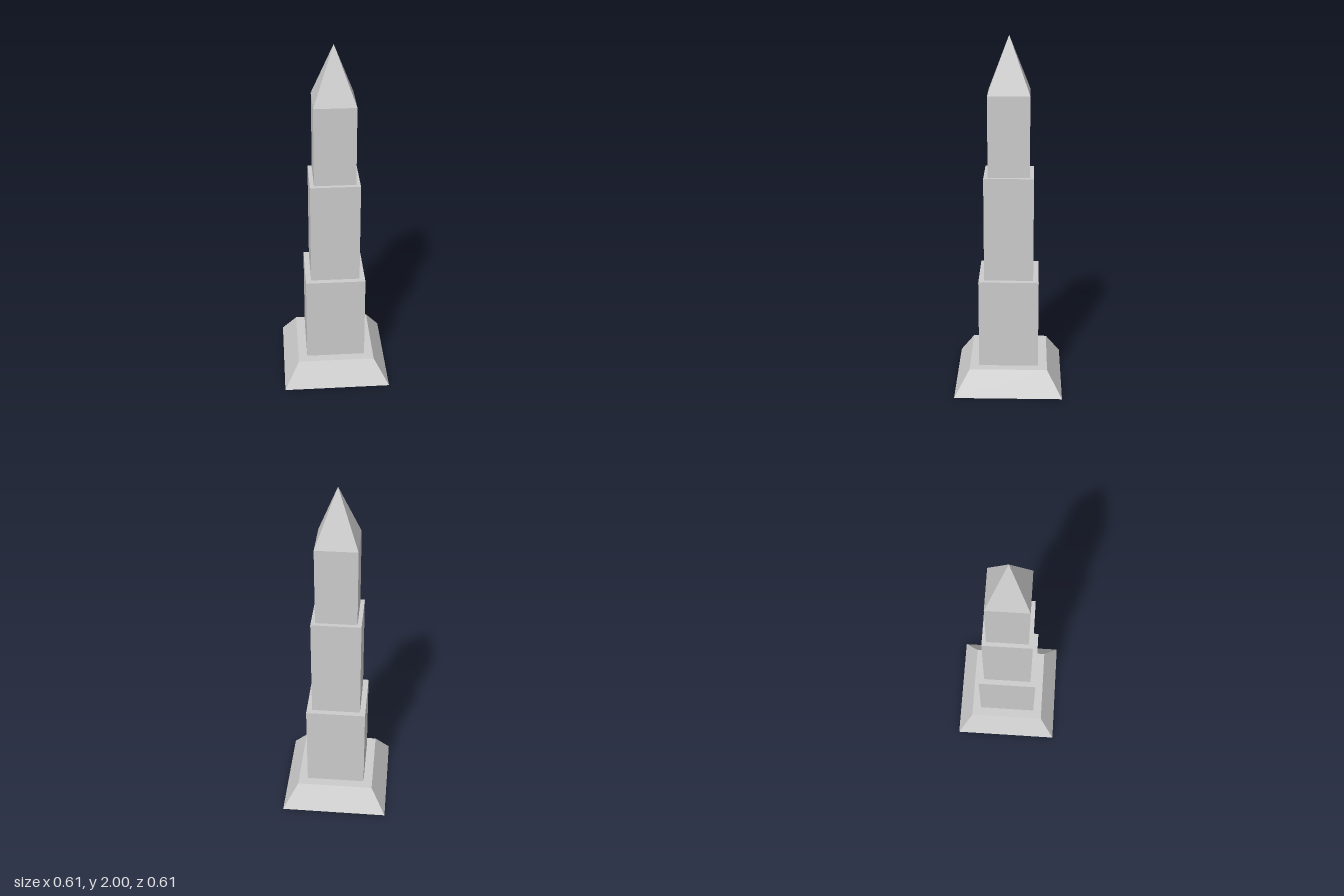
import * as THREE from 'three';

// Square frustum: half-widths at bottom and top, and the heights it spans
function squareTier(name, halfBottom, halfTop, y0, y1, material) {
  const geometry = new THREE.CylinderGeometry(
    halfTop * Math.SQRT2, halfBottom * Math.SQRT2, y1 - y0, 4, 1, false, Math.PI / 4);
  const mesh = new THREE.Mesh(geometry, material);
  mesh.name = name;
  mesh.position.y = (y0 + y1) / 2;
  return mesh;
}

export function createModel() {
  const material = new THREE.MeshStandardMaterial({ color: 0xcccccc, flatShading: true });
  const group = new THREE.Group();
  group.name = 'obelisk';

  // Sloped plinth, three stepped shafts and a pyramid cap
  const tiers = [
    ['plinth', 0.306, 0.221, 0, 0.138],
    ['lowerShaft', 0.169, 0.169, 0.138, 0.652],
    ['middleShaft', 0.138, 0.138, 0.652, 1.245],
    ['upperShaft', 0.115, 0.115, 1.245, 1.693],
    ['pyramidCap', 0.115, 0, 1.693, 2],
  ];
  for (const [name, halfBottom, halfTop, y0, y1] of tiers) {
    group.add(squareTier(name, halfBottom, halfTop, y0, y1, material));
  }
  return group;
}
